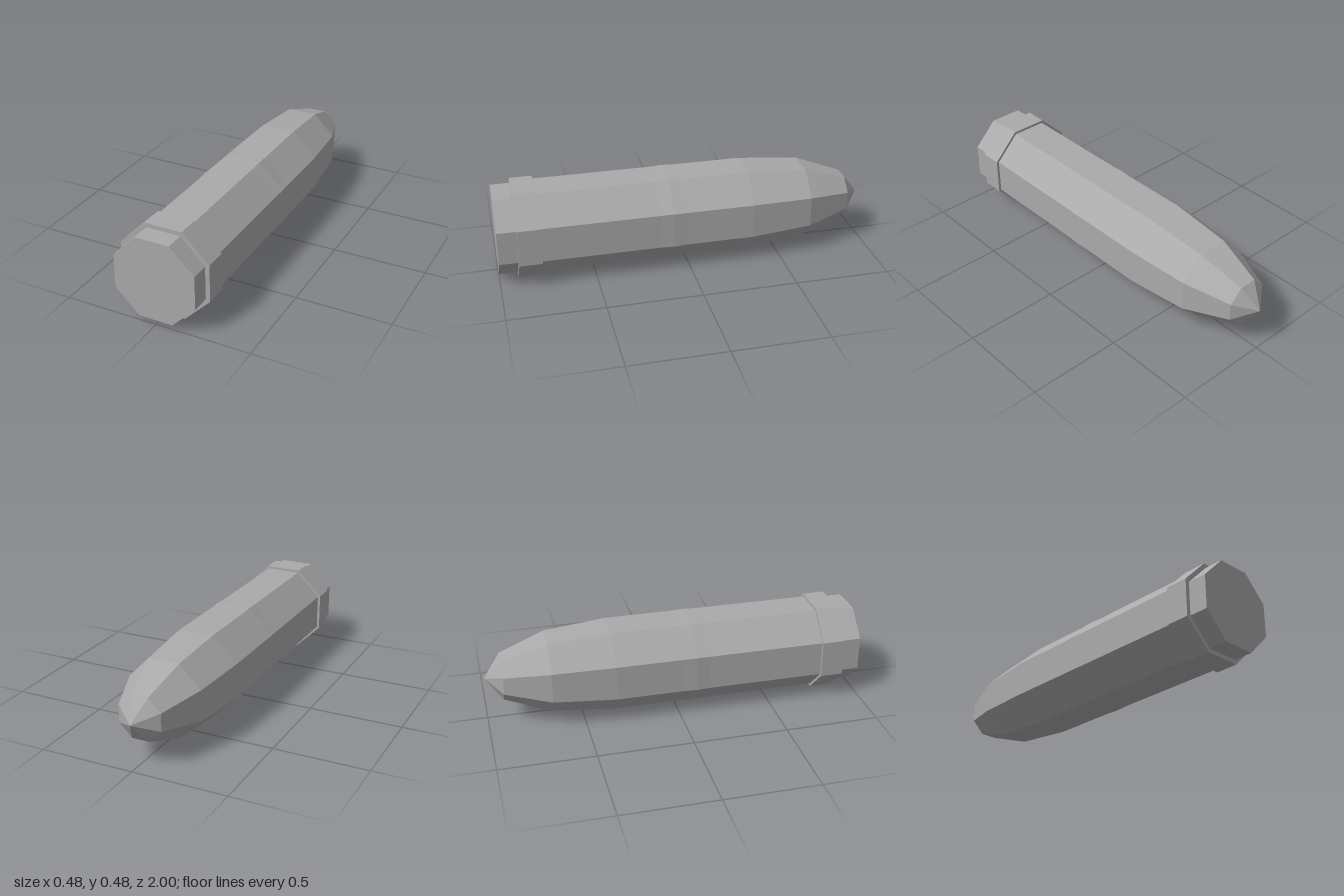
import * as THREE from 'three';

const SIDES = 8;
const CENTRE_Y = 0.24;

// Octagonal body of revolution along z; profile is [flat-to-axis distance, z], listed front to back.
function octagonal(name, profile, material) {
  const corner = 1 / Math.cos(Math.PI / SIDES);
  const points = profile.map(([r, z]) => new THREE.Vector2(r * corner, -z));
  const geometry = new THREE.LatheGeometry(points, SIDES, Math.PI / SIDES)
    .rotateX(-Math.PI / 2)
    .toNonIndexed();
  geometry.computeVertexNormals(); // faceted
  const mesh = new THREE.Mesh(geometry, material);
  mesh.name = name;
  mesh.position.y = CENTRE_Y;
  return mesh;
}

export function createModel() {
  const metal = new THREE.MeshStandardMaterial({ color: 0xaaaaaa });
  metal.name = 'grey metal';

  const group = new THREE.Group();
  group.name = 'roundedCylinder';
  group.add(
    // flat end cap
    octagonal('baseCap', [[0, 1], [0.217, 1], [0.217, 0.9]], metal),
    // wider collar with its two step faces
    octagonal('collar', [[0.2, 0.9], [0.24, 0.9], [0.24, 0.78], [0.2, 0.78]], metal),
    // long body with a very slight swell at the seam
    octagonal('frontBody', [[0.226, 0.78], [0.226, 0.16], [0.229, 0.09]], metal),
    octagonal('rearBody', [[0.229, 0.09], [0.226, 0.02], [0.226, -0.34]], metal),
    // tapering nose
    octagonal('nose', [[0.226, -0.34], [0.197, -0.67], [0.114, -0.91], [0, -1]], metal),
  );
  return group;
}
